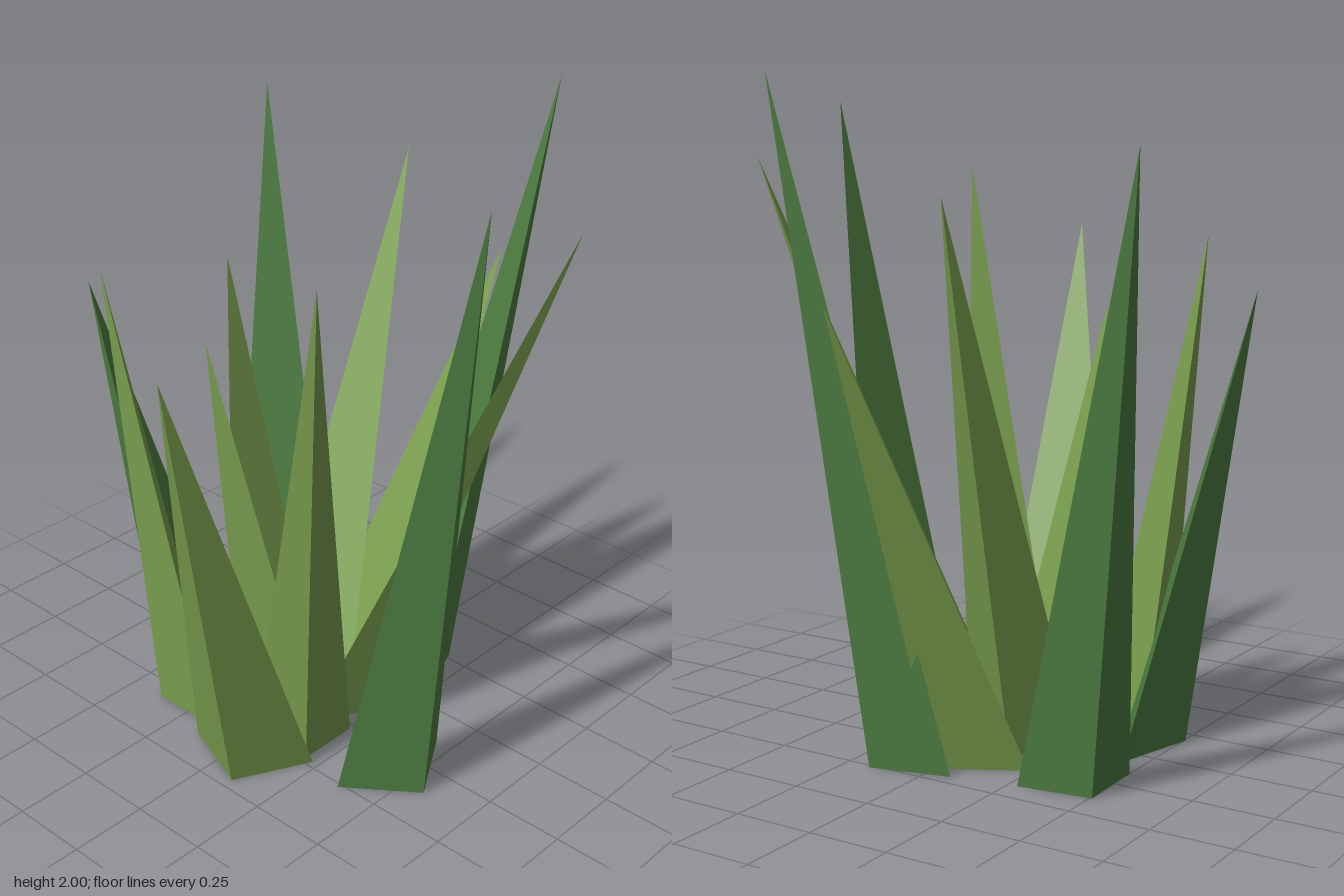
import * as THREE from 'three';

// Each blade: height, tip [x, z], and the two inner base corners [x, z]
const GREEN_BLADES = [
  [1.80, [0.60, -0.755], [0.155, -0.50], [0.415, -0.28]],
  [1.38, [-0.268, -0.68], [0.08, -0.435], [-0.288, -0.244]],
  [1.94, [-0.14, 0.75], [-0.265, 0.365], [0.12, 0.44]],
  [2.00, [0.765, 0.30], [0.454, -0.077], [0.28, 0.255]],
];
const OLIVE_BLADES = [
  [1.53, [-0.415, -0.445], [-0.076, -0.407], [-0.31, -0.13]],
  [1.44, [0.065, -0.41], [0.22, -0.18], [-0.135, -0.217]],
  [1.32, [-0.245, -0.19], [0.078, -0.264], [-0.06, 0.08]],
  [1.67, [0.72, -0.24], [0.03, -0.26], [0.109, 0.072]],
  [1.38, [0.81, 0.08], [0.29, -0.24], [0.20, 0.153]],
  [1.76, [0.278, 0.745], [-0.09, 0.08], [0.22, -0.005]],
  [1.73, [-0.445, 0.44], [-0.25, -0.01], [-0.02, 0.195]],
  [1.53, [-0.815, 0.235], [-0.37, -0.145], [-0.227, 0.225]],
];
const KEEL = 0.45; // depth of the base triangle relative to its width

// Leaning three-sided spike with a flattened isosceles base
function bladeGeometry(height, tip, a, b) {
  const T = new THREE.Vector3(tip[0], height, tip[1]);
  let A = new THREE.Vector3(a[0], 0, a[1]);
  let B = new THREE.Vector3(b[0], 0, b[1]);
  const mid = A.clone().add(B).multiplyScalar(0.5);
  const out = new THREE.Vector3(B.z - A.z, 0, A.x - B.x); // across the base, as long as its width
  if (out.dot(T.clone().sub(mid)) < 0) {
    out.negate();
  }
  const C = mid.clone().addScaledVector(out, KEEL);

  // Keep the base corners counter-clockwise seen from above
  const turn = B.clone().sub(A).cross(C.clone().sub(A)).y;
  if (turn < 0) [A, B] = [B, A];

  const faces = [A, B, T, B, C, T, C, A, T, C, B, A];
  const geometry = new THREE.BufferGeometry().setFromPoints(faces);
  geometry.computeVertexNormals();
  return geometry;
}

export function createModel() {
  const green = new THREE.MeshStandardMaterial({ color: 0x4f7f42 });
  green.name = 'deep green';
  const olive = new THREE.MeshStandardMaterial({ color: 0x7ba04f });
  olive.name = 'light olive green';

  const group = new THREE.Group();
  group.name = 'grassTuft';
  const addBlades = (blades, material, name) => blades.forEach((blade, i) => {
    const mesh = new THREE.Mesh(bladeGeometry(...blade), material);
    mesh.name = `${name}${i + 1}`;
    group.add(mesh);
  });
  addBlades(GREEN_BLADES, green, 'greenBlade');
  addBlades(OLIVE_BLADES, olive, 'oliveBlade');
  return group;
}
